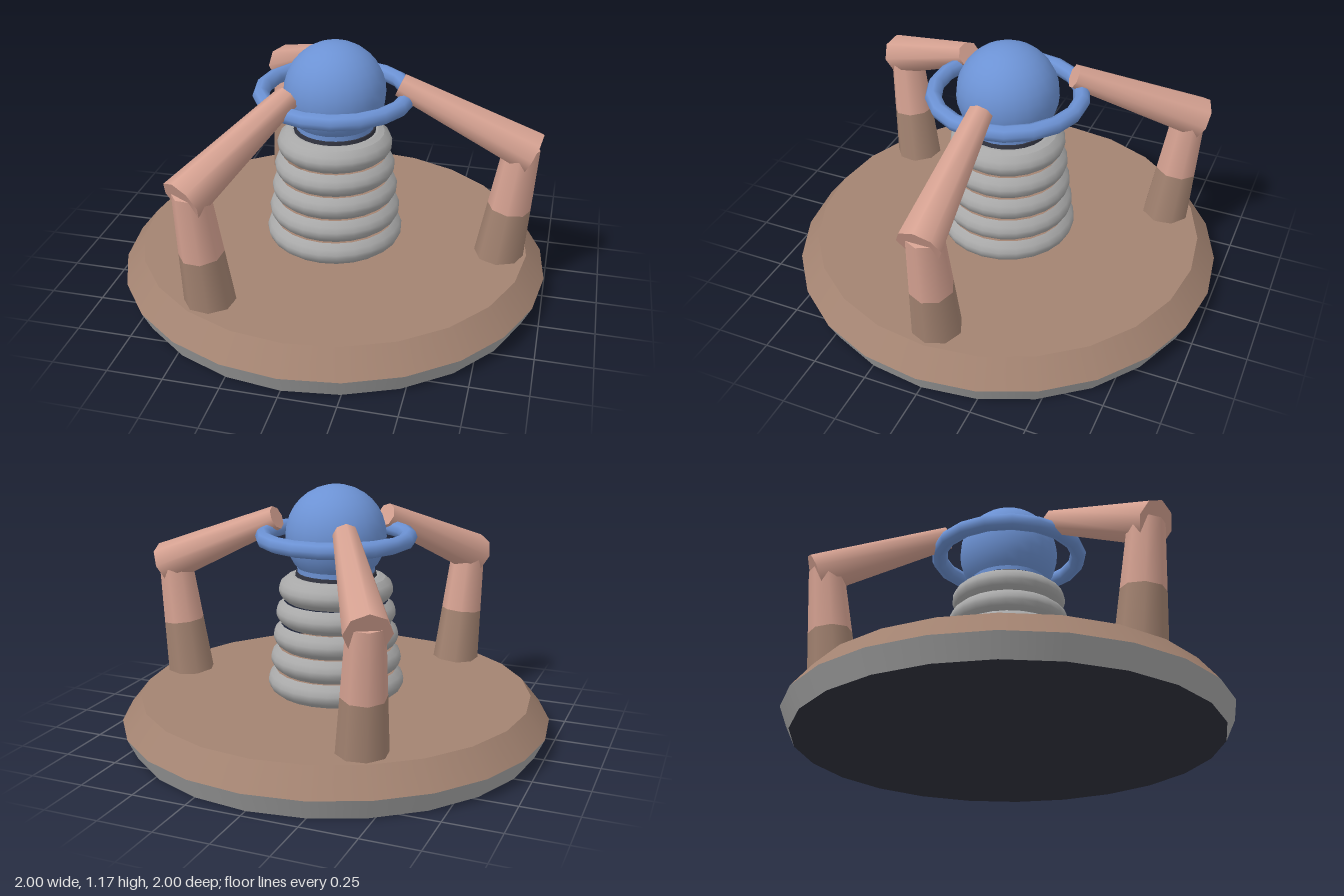
import * as THREE from 'three';

const mat = (name, color) => {
  const m = new THREE.MeshStandardMaterial({ color });
  m.name = name;
  return m;
};

export function createModel() {
  const brown = mat('brown', 0xa38371);
  const pink = mat('pink', 0xd6a292);
  const grey = mat('grey', 0xa8a8a8);
  const blue = mat('blue', 0x6c92d4);
  const dark = mat('dark', 0x30323e);

  const model = new THREE.Group();
  model.name = 'model';

  const add = (parent, name, geometry, material, y = 0) => {
    const mesh = new THREE.Mesh(geometry, material);
    mesh.name = name;
    mesh.position.y = y;
    parent.add(mesh);
    return mesh;
  };

  // Tapered eight-sided limb between two points in the xy plane
  const limb = (parent, name, a, b, ra, rb, material) => {
    const from = new THREE.Vector3(a[0], a[1], 0);
    const to = new THREE.Vector3(b[0], b[1], 0);
    const dir = to.clone().sub(from);
    const mesh = add(parent, name, new THREE.CylinderGeometry(rb, ra, dir.length(), 8), material);
    mesh.position.copy(from).add(to).multiplyScalar(0.5);
    mesh.quaternion.setFromUnitVectors(new THREE.Vector3(0, 1, 0), dir.normalize());
  };

  // Round base: grey rim below, brown chamfered deck above
  add(model, 'baseRim', new THREE.CylinderGeometry(1, 0.955, 0.095, 24), [grey, grey, dark], 0.0475);
  add(model, 'baseDeck', new THREE.CylinderGeometry(0.91, 1, 0.112, 24), brown, 0.151);

  // Stack of five bulging rings, narrowing upwards
  const rings = 5, y0 = 0.205, step = 0.109;
  for (let i = 0; i < rings; i++) {
    const r = 0.318 - i * 0.0135;
    const profile = [[-0.036, 0], [-0.01, 0.2], [0, 0.42], [0, 0.58], [-0.01, 0.8], [-0.036, 1]]
      .map(([dr, t]) => new THREE.Vector2(r + dr, t * step));
    add(model, 'bodyRing' + (i + 1), new THREE.LatheGeometry(profile, 24), grey, y0 + i * step);
  }
  add(model, 'bodyTop', new THREE.CylinderGeometry(0.2, 0.229, 0.01, 24), grey, y0 + rings * step + 0.004);

  // Neck, head and halo
  add(model, 'neckBand', new THREE.CylinderGeometry(0.185, 0.19, 0.02, 24), dark, 0.765);
  add(model, 'neck', new THREE.CylinderGeometry(0.18, 0.178, 0.04, 24), blue, 0.79);
  add(model, 'head', new THREE.SphereGeometry(0.232, 24, 16), blue, 0.943);
  const halo = add(model, 'halo', new THREE.TorusGeometry(0.333, 0.038, 8, 18), blue, 0.937);
  halo.rotation.x = Math.PI / 2;

  // Three bent arms around the centre
  const foot = [0.782, 0.2], knee = [0.85, 0.76];
  const footR = 0.113, kneeR = 0.08, split = 0.46;
  const mid = foot.map((v, i) => v + (knee[i] - v) * split);
  const midR = footR + (kneeR - footR) * split;
  for (let i = 0; i < 3; i++) {
    const arm = new THREE.Group();
    arm.name = 'arm' + (i + 1);
    arm.rotation.y = (i * Math.PI * 2) / 3;
    limb(arm, 'lowerLeg', foot, mid, footR, midR, brown);
    limb(arm, 'upperLeg', mid, knee, midR, kneeR, pink);
    limb(arm, 'forearm', [0.9, 0.737], [0.298, 1.003], 0.1, 0.056, pink);
    model.add(arm);
  }
  return model;
}
